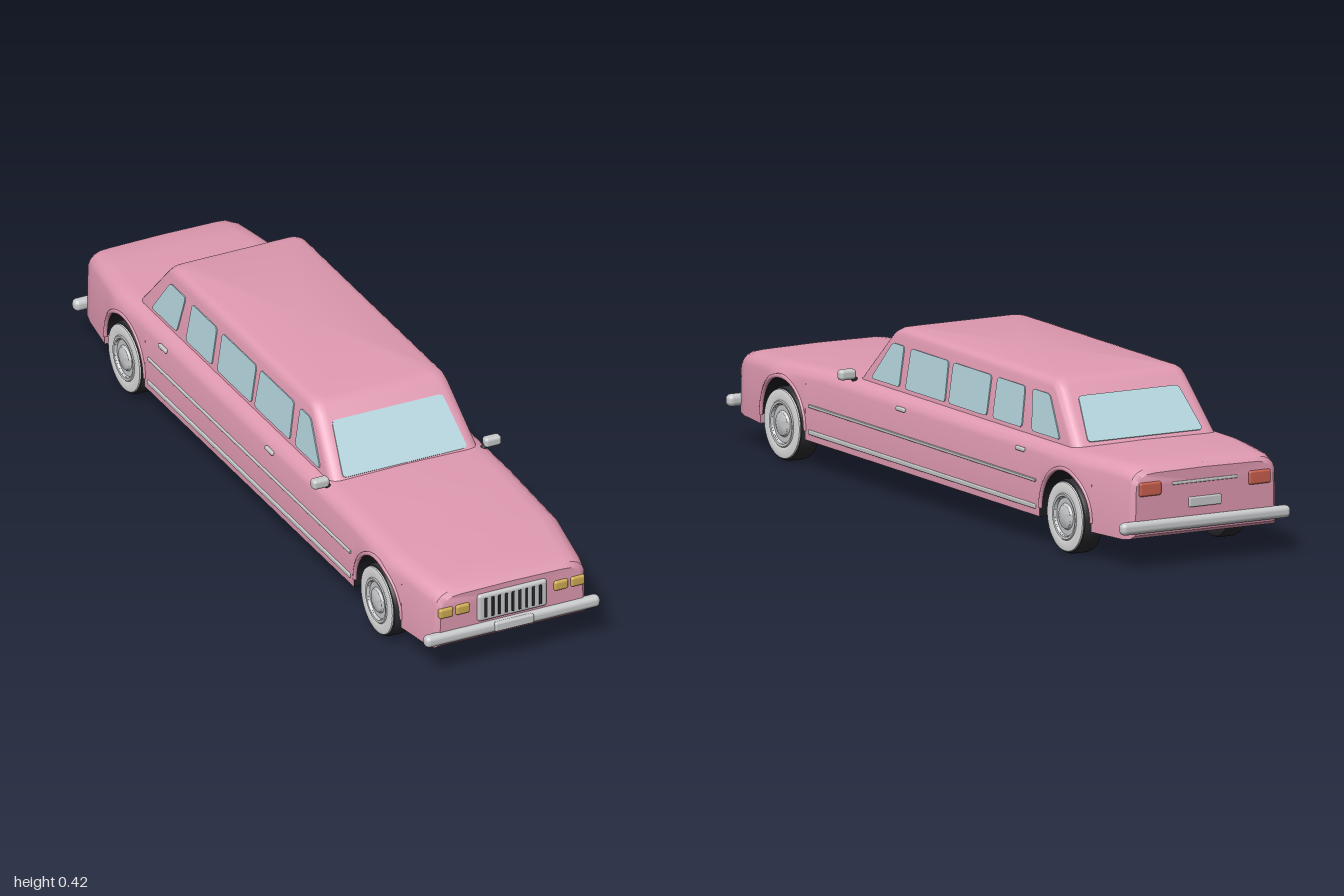
import * as THREE from 'three';
import { toCreasedNormals } from 'three/addons/utils/BufferGeometryUtils.js';
import { RoundedBoxGeometry } from 'three/addons/geometries/RoundedBoxGeometry.js';

const material = (name, color) => Object.assign(new THREE.MeshStandardMaterial({ color }), { name });
const V = (x, y, z) => new THREE.Vector3(x, y, z);

// Linear lookup in a list of [key, value] with rising keys
function lookup(table, k) {
  for (let i = 1; i < table.length; i++) {
    const [k0, v0] = table[i - 1], [k1, v1] = table[i];
    if (k <= k1) return v0 + (v1 - v0) * Math.max(0, (k - k0) / (k1 - k0));
  }
  return table[table.length - 1][1];
}

// Skin over rings of points, optionally wrapped around and capped at the ends
function loft(rings, { closed = false, capFirst = false, capLast = false } = {}) {
  const n = rings[0].length, pos = rings.flat().flatMap((p) => p.toArray()), idx = [];
  for (let i = 0; i < rings.length - 1; i++) {
    for (let j = 0; j < (closed ? n : n - 1); j++) {
      const a = i * n + j, b = i * n + (j + 1) % n, c = b + n, d = a + n;
      idx.push(a, d, c, a, c, b);
    }
  }
  const cap = (r, flip) => {
    const mid = V(0, 0, 0);
    rings[r].forEach((p) => mid.addScaledVector(p, 1 / n));
    const m = pos.length / 3;
    pos.push(...mid.toArray());
    for (let j = 0; j < n; j++) {
      const a = r * n + j, b = r * n + (j + 1) % n;
      idx.push(m, flip ? b : a, flip ? a : b);
    }
  };
  if (capFirst) cap(0, false);
  if (capLast) cap(rings.length - 1, true);
  const g = new THREE.BufferGeometry();
  g.setAttribute('position', new THREE.Float32BufferAttribute(pos, 3));
  g.setIndex(idx);
  return toCreasedNormals(g, 0.6);
}

// Polygon with softened corners
function roundedShape(pts, r) {
  const P = pts.map(([x, y]) => new THREE.Vector2(x, y)), s = new THREE.Shape();
  P.forEach((p, i) => {
    const before = P[(i + P.length - 1) % P.length], after = P[(i + 1) % P.length];
    const a = before.clone().sub(p).setLength(r).add(p), b = after.clone().sub(p).setLength(r).add(p);
    if (i) s.lineTo(a.x, a.y); else s.moveTo(a.x, a.y);
    s.quadraticCurveTo(p.x, p.y, b.x, b.y);
  });
  s.closePath();
  return s;
}

export function createModel() {
  const car = new THREE.Group();
  car.name = 'limousine';
  const pink = material('pinkPaint', 0xe09ab1), glass = material('glass', 0xb5d5de);
  const chrome = material('chrome', 0xc8c9cb), dark = material('darkUnderside', 0x1e1e24);
  const rubber = material('rubber', 0x2b2b31), white = material('whitewall', 0xe2e2e2);
  const amber = material('headlightYellow', 0xcdab52), red = material('tailLightRed', 0xc9604e);
  const add = (name, geo, mat, x = 0, y = 0, z = 0) => {
    const m = new THREE.Mesh(geo, mat);
    m.name = name;
    m.position.set(x, y, z);
    car.add(m);
    return m;
  };
  const block = (name, mat, [w, h, d], [x, y, z], r = 0.005) =>
    add(name, new RoundedBoxGeometry(w, h, d, 3, Math.min(r, w / 2.1, h / 2.1, d / 2.1)), mat, x, y, z);

  // Body outline along its length
  const AXLES = [0.71, -0.7], R = 0.12, AXLE_Y = 0.098, FLOOR = 0.075;
  const halfWidth = (z) => lookup([[0, 0.248], [0.76, 0.248], [0.94, 0.22], [0.97, 0.213], [0.98, 0.203]], Math.abs(z));
  const topY = (z) => lookup([[-0.98, 0.245], [-0.97, 0.256], [-0.94, 0.263], [-0.85, 0.266], [0.5, 0.266],
    [0.75, 0.253], [0.94, 0.24], [0.97, 0.233], [0.98, 0.222]], z);
  const stations = [[0.98, 0.088], [0.97, 0.079], [0.94, FLOOR], [0.88, FLOOR]];
  AXLES.forEach((c, k) => {
    stations.push([c + R, FLOOR]);
    for (let i = 0; i <= 20; i++) {
      const t = (i / 20) * Math.PI;
      stations.push([c + R * Math.cos(t), AXLE_Y + R * Math.sin(t)]);
    }
    stations.push([c - R, FLOOR]);
    if (!k) stations.push([0.5, FLOOR], [0.2, FLOOR], [-0.2, FLOOR], [-0.5, FLOOR]);
  });
  stations.push([-0.88, FLOOR], [-0.94, FLOOR], [-0.97, 0.079], [-0.98, 0.088]);

  const bodyRings = stations.map(([z, yb]) => {
    const w = halfWidth(z), t = topY(z);
    const half = [[w, yb], [w - 0.003, t - 0.034], [w - 0.009, t - 0.02], [w - 0.02, t - 0.009], [w - 0.036, t - 0.002], [w - 0.06, t]];
    return [...half.map(([x, y]) => V(x, y, z)), V(0, t + 0.002, z), ...half.reverse().map(([x, y]) => V(-x, y, z))];
  });
  add('bodyShell', loft(bodyRings, { capFirst: true, capLast: true }), pink);

  // Underside: painted at both ends, dark between, with the wheel wells cut through
  const under = (from, to) => loft(stations.filter(([z]) => z <= from && z >= to)
    .map(([z, yb]) => [V(-halfWidth(z), yb, z), V(halfWidth(z), yb, z)]));
  add('frontValance', under(1, AXLES[0] + R - 1e-6), pink);
  add('rearValance', under(AXLES[1] - R + 1e-6, -1), pink);
  add('floorPan', under(AXLES[0] + R + 1e-6, AXLES[1] - R - 1e-6), dark);
  block('chassis', dark, [0.336, 0.15, 1.64], [0, 0.132, 0.005], 0.008);

  // Cabin, as rounded rectangles stacked upwards
  const cabinRing = ([y, hx, zf, zr, r]) => {
    const ring = [];
    [[1, 1], [-1, 1], [-1, -1], [1, -1]].forEach(([sx, sz], q) => {
      for (let i = 0; i <= 5; i++) {
        const t = (q + i / 5) * Math.PI / 2;
        ring.push(V(sx * (hx - r) + r * Math.cos(t), y, (sz > 0 ? zf - r : zr + r) + r * Math.sin(t)));
      }
    });
    return ring;
  };
  const cabin = [[0.25, 0.211, 0.405, -0.705, 0.03], [0.395, 0.19, 0.268, -0.582, 0.03], [0.408, 0.186, 0.253, -0.57, 0.03],
    [0.416, 0.178, 0.24, -0.558, 0.03], [0.42, 0.164, 0.222, -0.54, 0.028]];
  add('cabin', loft(cabin.map(cabinRing), { closed: true, capLast: true }), pink);

  // Window panes lying on the sloping cabin walls; points are [sideways, height]
  const pane = (name, base, top, out, pts) => {
    const v = top.clone().sub(base).normalize(), u = v.clone().cross(out).normalize(), n = u.clone().cross(v);
    const flip = u.z < -0.5 ? -1 : 1;
    const shape = roundedShape(pts.map(([a, y]) => [a * flip, (y - base.y) / v.y]), 0.012);
    const g = new THREE.ExtrudeGeometry(shape, { depth: 0.005, bevelEnabled: false });
    g.applyMatrix4(new THREE.Matrix4().makeBasis(u, v, n).setPosition(base.clone().addScaledVector(n, -0.002)));
    add(name, g, glass);
  };
  const [lo, hi] = cabin;
  pane('windscreen', V(0, lo[0], lo[2]), V(0, hi[0], hi[2]), V(0, 0, 1),
    [[-0.176, 0.27], [0.176, 0.27], [0.156, 0.379], [-0.156, 0.379]]);
  pane('rearWindow', V(0, lo[0], lo[3]), V(0, hi[0], hi[3]), V(0, 0, -1),
    [[-0.168, 0.275], [0.168, 0.275], [0.146, 0.377], [-0.146, 0.377]]);
  // Each side window: bottom front, bottom rear, top rear, top front
  const sideWindows = [[0.325, 0.185, 0.185, 0.242], [0.155, -0.042, -0.036, 0.15], [-0.06, -0.25, -0.25, -0.06],
    [-0.28, -0.425, -0.418, -0.28], [-0.475, -0.615, -0.54, -0.455]];

  // Tyre profile in radius and offset from the wheel centre
  const tyreProfile = [[0.05, -0.03], [0.085, -0.03], [0.092, -0.026], [0.095, -0.018], [0.095, 0.018], [0.092, 0.026], [0.086, 0.03], [0.05, 0.03]];
  const whiteProfile = [[0.058, 0.031], [0.072, 0.034], [0.088, 0.031], [0.09, 0.026]];
  const hubProfile = [[0.062, 0.03], [0.058, 0.034], [0.052, 0.033], [0.048, 0.026], [0.034, 0.026], [0.03, 0.032], [0.02, 0.036], [0, 0.038]];
  const lathe = (p) => toCreasedNormals(new THREE.LatheGeometry(p.map(([r, y]) => new THREE.Vector2(r, y)).reverse(), 40), 0.6);

  for (const s of [1, -1]) {
    const side = s > 0 ? 'left' : 'right';
    sideWindows.forEach(([a, b, c, d], i) => pane(`${side}Window${i + 1}`, V(s * lo[1], lo[0], 0), V(s * hi[1], hi[0], 0), V(s, 0, 0),
      [[a, 0.274], [b, 0.274], [c, 0.378], [d, 0.378]]));

    // Wheels and the lips over them
    AXLES.forEach((z, k) => {
      const wheel = new THREE.Group();
      wheel.name = `${side}${k ? 'Rear' : 'Front'}Wheel`;
      [['tyre', tyreProfile, rubber], ['whitewall', whiteProfile, white], ['hubcap', hubProfile, chrome]].forEach(([name, p, mat]) => {
        const m = new THREE.Mesh(lathe(p), mat);
        m.material.side = THREE.DoubleSide;
        m.name = name;
        wheel.add(m);
      });
      wheel.rotation.z = -s * Math.PI / 2;
      wheel.position.set(s * 0.214, AXLE_Y - 0.003, z);
      car.add(wheel);
      const arc = Array.from({ length: 17 }, (_, i) => {
        const t = (i / 16) * Math.PI, az = z + R * Math.cos(t);
        return V(s * (halfWidth(az) - 0.002), AXLE_Y + R * Math.sin(t), az);
      });
      add(`${side}ArchLip`, new THREE.TubeGeometry(new THREE.CatmullRomCurve3(arc), 32, 0.006, 6), pink);
    });

    // Side trim, handles and mirrors
    block(`${side}UpperTrim`, chrome, [0.006, 0.008, 1.13], [s * 0.248, 0.165, 0.005], 0.002);
    block(`${side}LowerTrim`, chrome, [0.008, 0.012, 1.13], [s * 0.248, 0.098, 0.005], 0.003);
    for (const z of [0.115, -0.48]) block(`${side}DoorHandle`, chrome, [0.01, 0.011, 0.042], [s * 0.246, 0.233, z], 0.004);
    block(`${side}Mirror`, chrome, [0.047, 0.027, 0.026], [s * 0.243, 0.276, 0.39], 0.009);
    const stem = add(`${side}MirrorStem`, new THREE.CylinderGeometry(0.007, 0.009, 0.04, 10), rubber, s * 0.22, 0.26, 0.388);
    stem.rotation.z = -s * 0.6;

    // Lamps
    for (const x of [0.186, 0.139]) block(`${side}Headlight`, amber, [0.04, 0.028, 0.018], [s * x, 0.179, 0.978], 0.007);
    block(`${side}TailLight`, red, [0.064, 0.036, 0.018], [s * 0.16, 0.205, -0.977], 0.006);
  }

  // Grille with dark slots
  block('grille', chrome, [0.196, 0.077, 0.02], [0, 0.17, 0.979], 0.009);
  for (let i = 0; i < 9; i++) block('grilleSlot', rubber, [0.008, 0.056, 0.006], [(i - 4) * 0.0192, 0.17, 0.988], 0.002);

  // Bumpers with tapered ends, number plates and rear trim
  for (const s of [1, -1]) {
    const end = s > 0 ? 'front' : 'rear';
    const g = new RoundedBoxGeometry(0.494, 0.032, 0.03, 4, 0.013);
    add(`${end}Bumper`, g, chrome, 0, 0.109, s * 0.98);
  }
  block('frontPlate', chrome, [0.11, 0.025, 0.014], [0, 0.111, 0.993], 0.005);
  block('rearPlate', chrome, [0.095, 0.026, 0.012], [0, 0.16, -0.98], 0.004);
  block('rearTrim', chrome, [0.19, 0.008, 0.008], [0, 0.213, -0.98], 0.003);
  return car;
}
